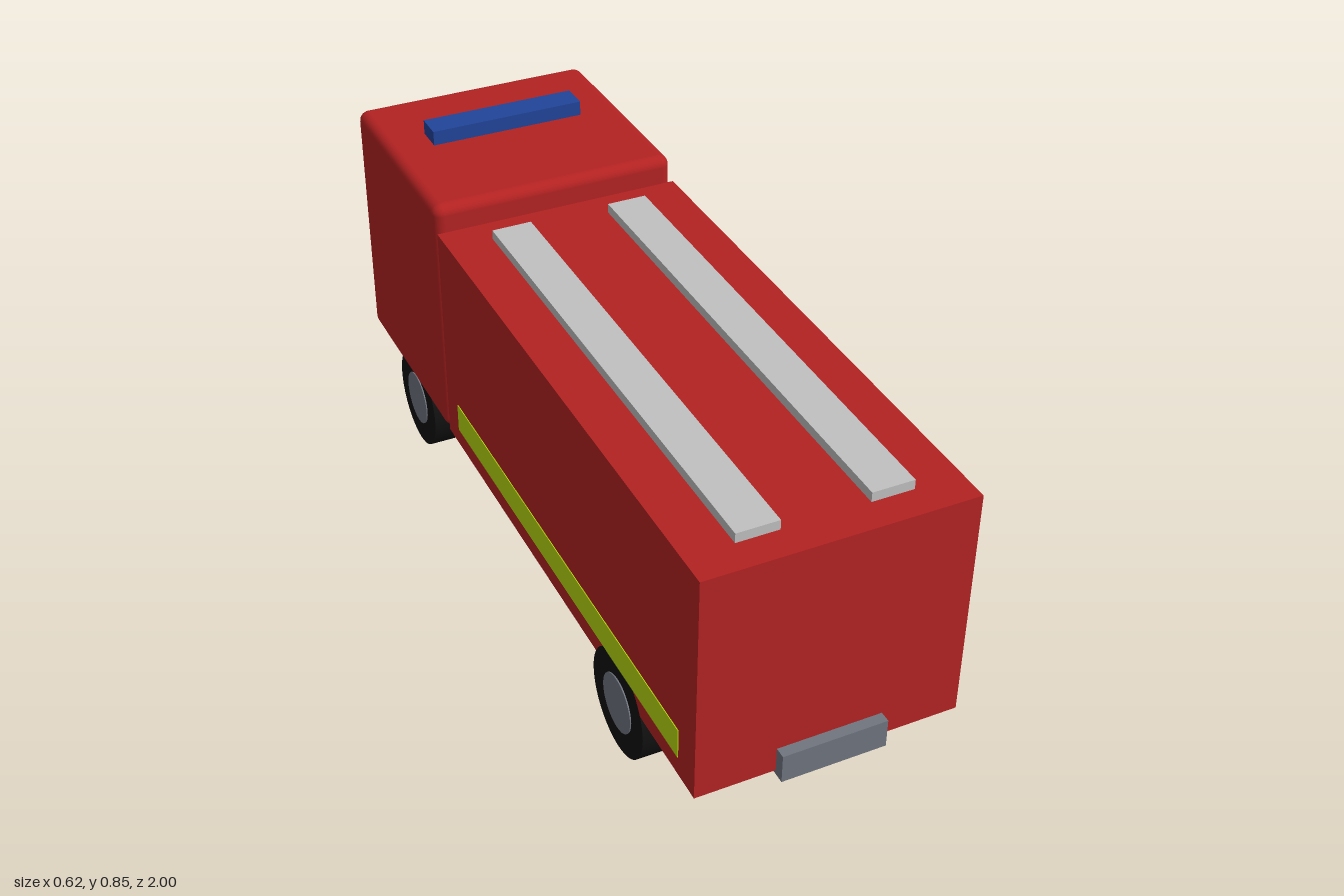
import * as THREE from 'three';
import { RoundedBoxGeometry } from 'three/addons/geometries/RoundedBoxGeometry.js';

const mat = (name, color) => {
  const m = new THREE.MeshStandardMaterial({ color });
  m.name = name;
  return m;
};

export function createModel() {
  const red = mat('red paint', 0xb42222);
  const silver = mat('silver', 0xc0c0c0);
  const blue = mat('blue light', 0x21449a);
  const grey = mat('steel grey', 0x70757f);
  const black = mat('tyre black', 0x111111);
  const glass = mat('window glass', 0xa8bfc8);
  const yellow = mat('reflective yellow', 0xb6d80f);

  const truck = new THREE.Group();
  truck.name = 'fireTruck';

  const add = (name, geometry, material, x = 0, y = 0, z = 0) => {
    const mesh = new THREE.Mesh(geometry, material);
    mesh.name = name;
    mesh.position.set(x, y, z);
    truck.add(mesh);
    return mesh;
  };
  // Box given by its extents on each axis
  const block = (name, material, [x0, x1], [y0, y1], [z0, z1]) =>
    add(name, new THREE.BoxGeometry(x1 - x0, y1 - y0, z1 - z0), material,
      (x0 + x1) / 2, (y0 + y1) / 2, (z0 + z1) / 2);

  // Main bodies: the cab sits at the -z end
  block('chassis', grey, [-0.123, 0.123], [0.177, 0.248], [-0.6, 1]);
  block('equipmentBody', red, [-0.309, 0.309], [0.187, 0.756], [-0.414, 0.974]);
  add('cab', new RoundedBoxGeometry(0.62, 0.642, 0.57, 4, 0.026), red, 0, 0.496, -0.711);

  // Cab details
  block('windscreen', glass, [-0.29, 0.29], [0.495, 0.725], [-1, -0.992]);
  block('lightBar', blue, [-0.198, 0.198], [0.81, 0.854], [-0.797, -0.727]);

  const tyre = new THREE.CylinderGeometry(0.128, 0.128, 0.078, 40).rotateZ(Math.PI / 2);
  const hub = new THREE.CylinderGeometry(0.07, 0.07, 0.084, 32).rotateZ(Math.PI / 2);

  // Parts mirrored on both sides
  for (const [side, s] of [['left', 1], ['right', -1]]) {
    const span = (a, b) => (s > 0 ? [a, b] : [-b, -a]);
    block(side + 'Headlight', silver, span(0.225, 0.29), [0.198, 0.233], [-1, -0.992]);
    block(side + 'RoofLadderRail', silver, span(0.1, 0.198), [0.75, 0.779], [-0.34, 0.9]);
    block(side + 'Stripe', yellow, span(0.304, 0.311), [0.235, 0.31], [-0.34, 0.9]);
    for (const [axle, z] of [['Front', -0.66], ['Rear', 0.605]]) {
      add(side + axle + 'Tyre', tyre, black, s * 0.27, 0.128, z);
      add(side + axle + 'Hub', hub, grey, s * 0.27, 0.128, z);
    }
  }
  return truck;
}
